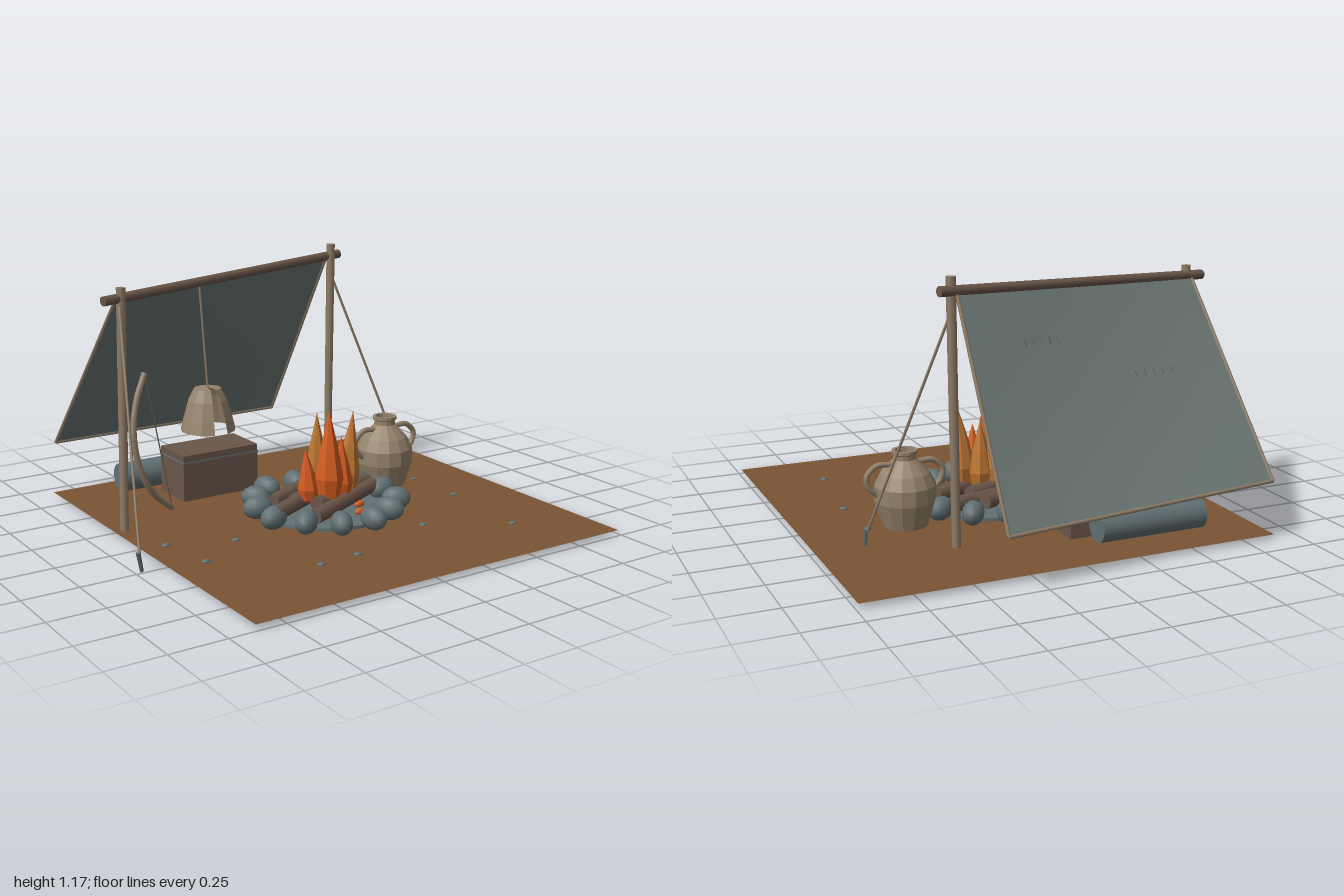
import * as THREE from 'three';

const mat = (name, color, side = THREE.FrontSide) => {
  const m = new THREE.MeshStandardMaterial({ color, side });
  m.name = name;
  return m;
};
const V = (x, y, z) => new THREE.Vector3(x, y, z);

export function createModel() {
  const earth = mat('earth', 0x7a5433, THREE.DoubleSide);
  const darkWood = mat('dark wood', 0x6a5649);
  const lightWood = mat('light wood', 0x8e7c67);
  const clay = mat('clay', 0x95836c, THREE.DoubleSide);
  const canvas = mat('canvas', 0x6c7976, THREE.DoubleSide);
  const stone = mat('stone', 0x617073);
  const orange = mat('flame orange', 0xd65c20);
  const amber = mat('flame amber', 0xbd7530);
  const G = 0.02; // ground level

  const root = new THREE.Group();
  root.name = 'campsite';
  const group = (name) => {
    const g = new THREE.Group();
    g.name = name;
    root.add(g);
    return g;
  };
  const add = (name, geo, material, parent = root) => {
    const m = new THREE.Mesh(geo, material);
    m.name = name;
    parent.add(m);
    return m;
  };
  const facet = (geo) => {
    const g = geo.toNonIndexed();
    g.computeVertexNormals();
    return g;
  };
  // Cylinder running from a (radius ra) to b (radius rb)
  const rod = (name, a, b, ra, rb, material, parent = root, sides = 8) => {
    const d = b.clone().sub(a);
    const m = add(name, new THREE.CylinderGeometry(rb, ra, d.length(), sides), material, parent);
    m.position.copy(a).add(b).multiplyScalar(0.5);
    m.quaternion.setFromUnitVectors(V(0, 1, 0), d.normalize());
    return m;
  };
  const tube = (name, pts, r, material, parent) =>
    add(name, new THREE.TubeGeometry(new THREE.CatmullRomCurve3(pts), 20, r, 7), material, parent);
  const blob = (name, p, s, material, parent) => {
    const m = add(name, new THREE.SphereGeometry(1, 12, 8), material, parent);
    m.position.copy(p);
    m.scale.copy(s);
    return m;
  };

  // Ground
  const ground = add('ground', new THREE.PlaneGeometry(1.87, 1.87).rotateX(-Math.PI / 2), earth);
  ground.position.set(0.055, G, 0.055);

  // Shelter frame
  const frame = group('shelterFrame');
  rod('leftPost', V(-0.832, G, -0.205), V(-0.81, 1.1, -0.21), 0.019, 0.021, lightWood, frame, 10);
  rod('rightPost', V(0.425, G, -0.465), V(0.44, 1.165, -0.465), 0.019, 0.021, lightWood, frame, 10);
  rod('ridgePole', V(-0.9, 1.05, -0.197), V(0.5, 1.11, -0.49), 0.022, 0.022, darkWood, frame, 10);

  // Tarp surface with a slight sag; u runs along the ridge, v down the slope
  const top = [V(-0.83, 1.055, -0.215), V(0.42, 1.105, -0.475)];
  const low = [V(-0.855, 0.265, -0.885), V(0.42, 0.235, -0.99)];
  const tarpPoint = (u, v, lift = 0) => {
    const p = top[0].clone().lerp(top[1], u).lerp(low[0].clone().lerp(low[1], u), v);
    const n = lift - 0.02 * Math.sin(Math.PI * u) * Math.sin(Math.PI * v);
    return p.add(V(0, 0.6 * n, -0.8 * n));
  };
  const cloth = (u0, u1, v0, v1, lift, n) => {
    const geo = new THREE.PlaneGeometry(1, 1, n, n);
    const pos = geo.attributes.position;
    for (let i = 0; i < pos.count; i++) {
      const u = u0 + (u1 - u0) * (pos.getX(i) + 0.5);
      const v = v0 + (v1 - v0) * (0.5 - pos.getY(i));
      pos.setXYZ(i, ...tarpPoint(u, v, lift).toArray());
    }
    geo.computeVertexNormals();
    return geo;
  };
  const tarp = group('tarp');
  add('tarpSheet', cloth(0, 1, 0, 1, 0, 10), canvas, tarp);
  rod('leftHem', top[0], low[0], 0.008, 0.008, lightWood, tarp, 6);
  rod('rightHem', top[1], low[1], 0.008, 0.008, lightWood, tarp, 6);
  rod('lowerHem', low[0], low[1], 0.008, 0.008, lightWood, tarp, 6);
  for (const [u0, u1, v0, v1] of [[0.215, 0.4, 0.43, 0.62], [0.64, 0.8, 0.24, 0.445]]) {
    add('patch', cloth(u0, u1, v0, v1, 0.005, 4), canvas, tarp);
    for (let i = 0; i < 5; i++) {
      const u = u0 + (u1 - u0) * (0.1 + 0.2 * i);
      rod('stitch', tarpPoint(u, v0 - 0.012, 0.005), tarpPoint(u, v0 + 0.018, 0.006), 0.002, 0.002, darkWood, tarp, 4);
    }
  }

  // Guy ropes and pegs
  const guys = group('guyRopes');
  rod('leftRope', V(-0.82, 1.04, -0.21), V(-0.98, 0.06, 0.245), 0.006, 0.006, lightWood, guys, 6);
  rod('rightRope', V(0.44, 1.02, -0.465), V(0.765, 0.06, -0.29), 0.006, 0.006, lightWood, guys, 6);
  rod('leftPeg', V(-0.968, 0, 0.235), V(-0.99, 0.09, 0.25), 0.008, 0.01, stone, guys, 6);
  rod('rightPeg', V(0.768, 0, -0.285), V(0.765, 0.09, -0.29), 0.008, 0.01, stone, guys, 6);

  // Fire pit: ash bed and ring of stones
  const fire = group('firePit');
  const ash = add('ashBed', new THREE.CylinderGeometry(0.3, 0.3, 0.015, 24), stone, fire);
  ash.position.set(0.06, G + 0.008, 0.05);
  for (let i = 0; i < 13; i++) {
    const a = (i / 13) * Math.PI * 2;
    const r = 0.325 + 0.01 * Math.sin(i * 2.3);
    const s = blob('ringStone', V(0.06 + r * Math.cos(a), 0.068, 0.05 + r * Math.sin(a)),
      V(0.07, 0.054, 0.05), stone, fire);
    s.rotation.y = -a;
  }

  // Logs: ends as [x, y, z], then radius
  const logs = [
    [[-0.18, 0.085, -0.015], [0.17, 0.095, -0.175], 0.034],
    [[-0.08, 0.07, 0.0], [0.31, 0.09, -0.14], 0.036],
    [[-0.26, 0.085, 0.135], [0.2, 0.105, -0.07], 0.036],
    [[-0.06, 0.1, 0.165], [0.34, 0.1, -0.015], 0.034],
    [[-0.13, 0.08, 0.255], [0.34, 0.09, 0.035], 0.035],
  ];
  for (const [a, b, r] of logs) rod('log', V(...a), V(...b), r, r, darkWood, fire, 10);

  // Faceted flames: x, z, tip height, radius, lean, colour
  const flames = [
    [0.03, 0.13, 0.52, 0.066, 0.0, orange], [0.17, 0.075, 0.48, 0.055, 0.03, amber],
    [0.04, 0.015, 0.48, 0.058, 0.0, amber], [-0.05, 0.08, 0.34, 0.05, -0.015, orange],
    [0.11, 0.11, 0.38, 0.055, 0.0, orange], [0.11, 0.02, 0.42, 0.055, 0.0, amber],
    [0.06, 0.065, 0.47, 0.05, 0.015, orange],
  ];
  flames.forEach(([x, z, tip, r, lean, color], i) => {
    const h = tip - 0.08;
    const profile = [[0.001, 0], [0.75, 0.08], [1, 0.28], [0.62, 0.6], [0.001, 1]]
      .map(([a, b]) => new THREE.Vector2(a * r, b * h));
    const geo = new THREE.LatheGeometry(profile, 7);
    const pos = geo.attributes.position;
    for (let k = 0; k < pos.count; k++) pos.setX(k, pos.getX(k) + lean * (pos.getY(k) / h) ** 2);
    const m = add('flame', facet(geo), color, fire);
    m.position.set(x, 0.08, z);
    if (!lean) m.rotation.y = i * 0.9;
  });
  for (const [x, z] of [[0.14, 0.22], [-0.06, 0.12], [0.2, 0.13], [0.0, 0.2]])
    blob('ember', V(x, 0.045, z), V(0.028, 0.018, 0.014), orange, fire);

  // Clay jug with two handles
  const jug = group('jug');
  jug.position.set(0.525, G, -0.12);
  const lathe = (pts, sides, start, sweep) => facet(new THREE.LatheGeometry(
    pts.map(([a, b]) => new THREE.Vector2(a, b)), sides, start, sweep));
  add('jugBody', lathe([[0.001, 0.005], [0.1, 0.005], [0.135, 0.12], [0.135, 0.19], [0.108, 0.245],
    [0.05, 0.305], [0.05, 0.325], [0.057, 0.33], [0.057, 0.345], [0.042, 0.345], [0.038, 0.25]], 14), clay, jug);
  for (const s of [-1, 1])
    tube('jugHandle', [V(s * 0.06, 0.285, 0), V(s * 0.13, 0.285, 0), V(s * 0.175, 0.24, 0),
      V(s * 0.165, 0.19, 0), V(s * 0.125, 0.155, 0)], 0.013, clay, jug);

  // Hanging bell-shaped hood, open at the front, with its cord and inner rod
  const hood = group('hangingHood');
  hood.position.set(-0.38, 0, -0.245);
  const gap = Math.PI / 6;
  add('hoodShell', lathe([[0.125, 0.405], [0.112, 0.46], [0.088, 0.545], [0.062, 0.598], [0.001, 0.602]],
    12, gap / 2, Math.PI * 2 - gap), clay, hood);
  rod('cord', V(0, 0.6, 0), V(0, 1.07, -0.06), 0.005, 0.005, lightWood, hood, 6);
  rod('innerRod', V(0, 0.38, 0), V(0, 0.6, 0), 0.012, 0.008, stone, hood, 6);

  // Chest with straps
  const chest = group('chest');
  chest.position.set(-0.24, 0.14, -0.492);
  add('chestBody', new THREE.BoxGeometry(0.4, 0.22, 0.226), darkWood, chest);
  const lidBand = add('lidBand', new THREE.BoxGeometry(0.404, 0.008, 0.23), stone, chest);
  lidBand.position.y = 0.075;

  // Bedroll
  rod('bedroll', V(-0.62, 0.1, -0.685), V(-0.12, 0.1, -0.685), 0.069, 0.069, stone, root, 18);

  // Bow leaning by the left post
  const bow = group('bow');
  const tips = [V(-0.72, 0.72, -0.19), V(-0.62, 0.1, -0.155)];
  tube('bowStave', [tips[0], V(-0.775, 0.61, -0.165), V(-0.808, 0.47, -0.135), V(-0.785, 0.31, -0.125),
    V(-0.72, 0.19, -0.135), tips[1]], 0.014, lightWood, bow);
  rod('bowString', tips[0], tips[1], 0.003, 0.003, darkWood, bow, 5);

  // Scattered pebbles
  const pebbles = group('pebbles');
  for (const [x, z] of [[-0.77, 0.07], [-0.485, 0.175], [-0.72, 0.33], [-0.34, 0.62], [-0.145, 0.605],
    [0.31, 0.465], [0.66, 0.665], [0.705, 0.2], [0.695, -0.1]])
    blob('pebble', V(x, G + 0.002, z), V(0.02, 0.008, 0.015), stone, pebbles);

  return root;
}
